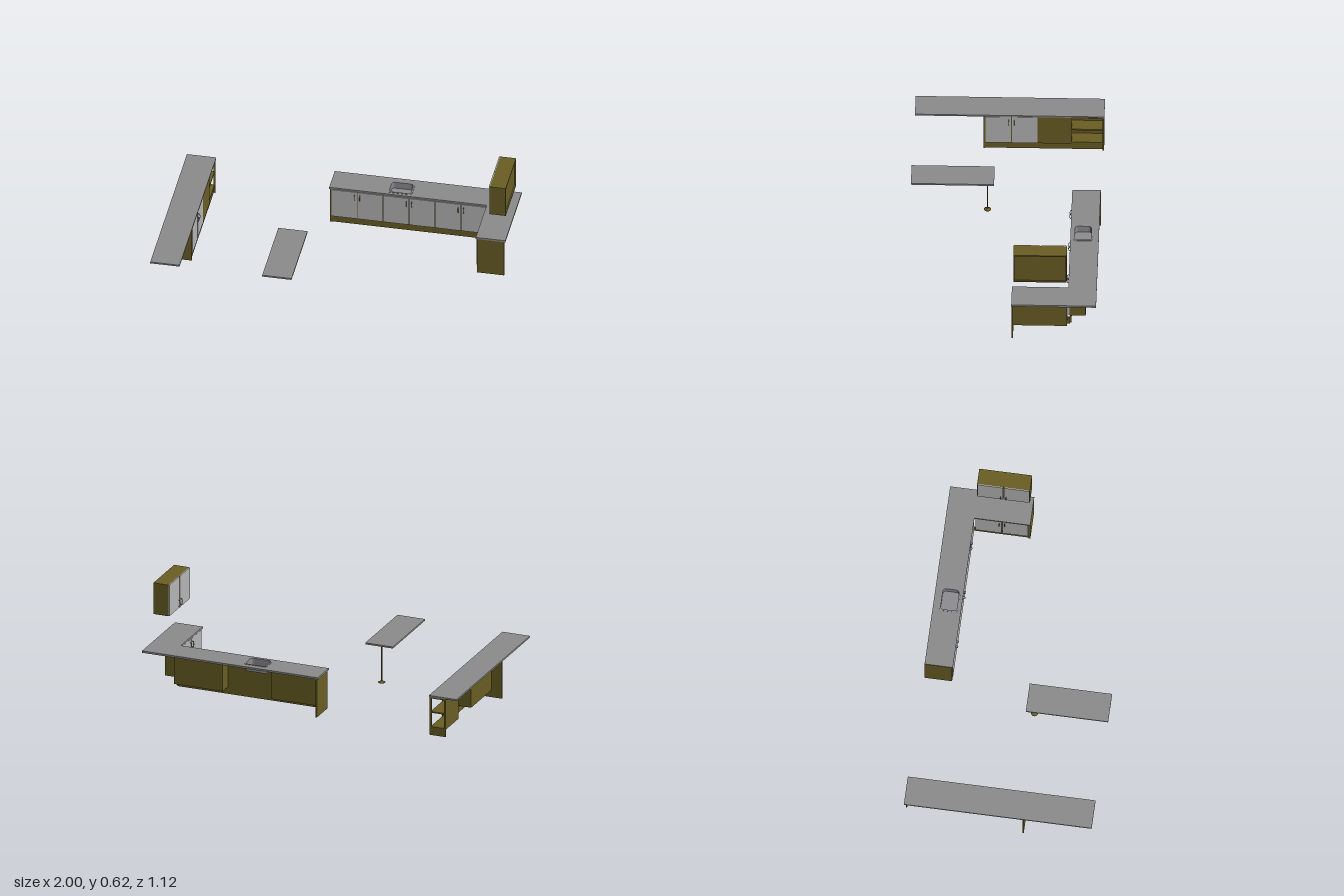
import * as THREE from 'three';

const mat = (name, color) => {
  const m = new THREE.MeshStandardMaterial({ color });
  m.name = name;
  return m;
};

export function createModel() {
  const wood = mat('olive carcass', 0x6a5e24);
  const door = mat('light door', 0xb6b6b6);
  const stone = mat('grey worktop', 0x8c8c8c);
  const steel = mat('handle metal', 0x707070);
  const sinkMat = mat('sink steel', 0x8e8e92);

  const model = new THREE.Group();
  model.name = 'kitchen';

  const add = (parent, name, geo, material) => {
    const m = new THREE.Mesh(geo, material);
    m.name = name;
    parent.add(m);
    return m;
  };
  // Box given by its min and max on each axis
  const box = (parent, name, material, x0, x1, y0, y1, z0, z1) => {
    const g = new THREE.BoxGeometry(x1 - x0, y1 - y0, z1 - z0);
    g.translate((x0 + x1) / 2, (y0 + y1) / 2, (z0 + z1) / 2);
    return add(parent, name, g, material);
  };
  // A run of units built facing +z, then turned into place
  const run = (name, x, z, turn) => {
    const g = new THREE.Group();
    g.name = name;
    g.position.set(x, 0, z);
    g.rotation.y = turn;
    model.add(g);
    return g;
  };

  const BASE = 0.045, TOP = 0.238, DEPTH = 0.095, T = 0.006, FULL = 0.165;

  // Bow handle
  const handle = (parent, x, y, z) => {
    const curve = new THREE.CatmullRomCurve3([
      [0, -0.019, 0], [0, -0.015, 0.008], [0, 0, 0.011], [0, 0.015, 0.008], [0, 0.019, 0],
    ].map((p) => new THREE.Vector3(...p)));
    const m = add(parent, 'handle', new THREE.TubeGeometry(curve, 14, 0.0018, 6), steel);
    m.position.set(x, y, z);
  };
  // Pair of doors with handles next to the middle gap
  const doors = (parent, x0, x1, y0, y1, handleY) => {
    const mid = (x0 + x1) / 2, gap = 0.0025;
    box(parent, 'leftDoor', door, x0 + gap, mid - gap, y0, y1, 0, T);
    box(parent, 'rightDoor', door, mid + gap, x1 - gap, y0, y1, 0, T);
    for (const s of [-1, 1]) handle(parent, mid + s * 0.016, handleY, T);
  };
  const unit = (parent, x0, x1, depth) => {
    box(parent, 'cabinet', wood, x0, x1, BASE, TOP, -depth, 0);
    doors(parent, x0, x1, BASE, 0.234, 0.195);
  };
  const plinth = (parent, x0, x1) => box(parent, 'plinth', wood, x0, x1, 0, BASE, -0.012, -0.004);
  const endPanel = (parent, x0, x1) => box(parent, 'endPanel', wood, x0, x1, 0, TOP, -FULL + 0.004, 0.002);

  // Main run: three double units, the sink unit being shallow
  const main = run('mainRun', 0, -0.397, 0);
  [[-0.105, 0.205, DEPTH], [0.205, 0.515, 0.015], [0.515, 0.825, DEPTH]]
    .forEach(([a, b, d]) => unit(main, a, b, d));
  plinth(main, -0.105, 0.835);
  endPanel(main, -0.112, -0.104);

  // Return run facing -x
  const side = run('returnRun', 0.832, 0, -Math.PI / 2);
  unit(side, -0.385, -0.07, DEPTH);
  plinth(side, -0.4, -0.062);
  endPanel(side, -0.07, -0.06);

  // Island run facing +x (local x runs towards -z)
  const island = run('islandRun', -0.834, 0, Math.PI / 2);
  unit(island, -0.14, 0.17, DEPTH);
  endPanel(island, -0.148, -0.14);
  box(island, 'fillerPanel', wood, 0.17, 0.36, BASE, TOP, -0.012, T);
  plinth(island, -0.14, 0.555);
  // Open corner shelves
  const s0 = 0.36, s1 = 0.558, w = 0.008;
  box(island, 'shelfSide', wood, s0, s0 + w, BASE, TOP, -DEPTH, T);
  box(island, 'shelfBack', wood, s0, s1, BASE, TOP, -DEPTH, -DEPTH + w);
  for (const y of [BASE, 0.14, TOP - w]) box(island, 'shelf', wood, s0, s1, y, y + w, -DEPTH, 0);
  box(island, 'cornerPost', wood, s1 - w, s1, 0, TOP, -0.006, T);
  box(island, 'shelfPlinthEnd', wood, s1 - w, s1, 0, BASE, -DEPTH, 0);

  // Wall cabinet facing -x, with a recessed back
  const wall = run('wallCabinet', 0.905, 0, -Math.PI / 2);
  const a = -0.385, b = -0.072, lo = 0.42, hi = 0.616, e = 0.008, back = -0.095;
  box(wall, 'wallSide', wood, a, a + e, lo, hi, back, 0);
  box(wall, 'wallSide', wood, b - e, b, lo, hi, back, 0);
  box(wall, 'wallBottom', wood, a, b, lo, lo + e, back, 0);
  box(wall, 'wallTop', wood, a, b, hi - e, hi, back, 0);
  box(wall, 'wallBack', wood, a + e, b - e, lo + e, hi - e, back + 0.008, 0);
  doors(wall, a, b, lo, hi, 0.452);

  // Flat outline in x and z, raised upwards
  const slab = (shape, height) => {
    const g = new THREE.ExtrudeGeometry(shape, { depth: height, bevelEnabled: false, curveSegments: 6 });
    return g.rotateX(-Math.PI / 2);
  };
  const rounded = (Kind, x0, x1, z0, z1, r) => {
    const p = new Kind(), y0 = -z1, y1 = -z0;
    p.moveTo(x0 + r, y0);
    p.lineTo(x1 - r, y0).quadraticCurveTo(x1, y0, x1, y0 + r);
    p.lineTo(x1, y1 - r).quadraticCurveTo(x1, y1, x1 - r, y1);
    p.lineTo(x0 + r, y1).quadraticCurveTo(x0, y1, x0, y1 - r);
    p.lineTo(x0, y0 + r).quadraticCurveTo(x0, y0, x0 + r, y0);
    return p;
  };

  // L-shaped worktop with a sink cut-out
  const top = new THREE.Shape([
    [-0.117, 0.39], [0.823, 0.39], [0.823, 0.06], [1, 0.06], [1, 0.557], [-0.117, 0.557],
  ].map((p) => new THREE.Vector2(...p)));
  top.holes.push(rounded(THREE.Path, 0.232, 0.367, -0.515, -0.413, 0.02));
  add(model, 'worktop', slab(top, 0.012), stone).position.y = TOP;

  // Sink: rim, wall and floor
  const sink = new THREE.Group();
  sink.name = 'sink';
  model.add(sink);
  const ring = (o, i) => {
    const s = rounded(THREE.Shape, 0.232 - o, 0.367 + o, -0.515 - o, -0.413 + o, 0.022);
    s.holes.push(rounded(THREE.Path, 0.232 + i, 0.367 - i, -0.515 + i, -0.413 - i, 0.02));
    return s;
  };
  add(sink, 'sinkRim', slab(ring(0.006, 0.003), 0.002), sinkMat).position.y = 0.25;
  add(sink, 'sinkWall', slab(ring(0, 0.003), 0.04), sinkMat).position.y = 0.21;
  add(sink, 'sinkFloor', slab(rounded(THREE.Shape, 0.232, 0.367, -0.515, -0.413, 0.02), 0.003), sinkMat).position.y = 0.207;

  // Island worktop
  box(model, 'islandWorktop', stone, -1, -0.825, TOP, 0.248, -0.56, 0.55);

  // Table on one round leg
  const table = new THREE.Group();
  table.name = 'table';
  model.add(table);
  box(table, 'tableTop', stone, -0.33, -0.155, 0.24, 0.25, 0.07, 0.557);
  const leg = new THREE.LatheGeometry(
    [[0, 0], [0.021, 0], [0.021, 0.003], [0.008, 0.008], [0.004, 0.012], [0.004, 0.24]]
      .map((p) => new THREE.Vector2(...p)), 20);
  add(table, 'tableLeg', leg, wood).position.set(-0.243, 0, 0.11);

  return model;
}
